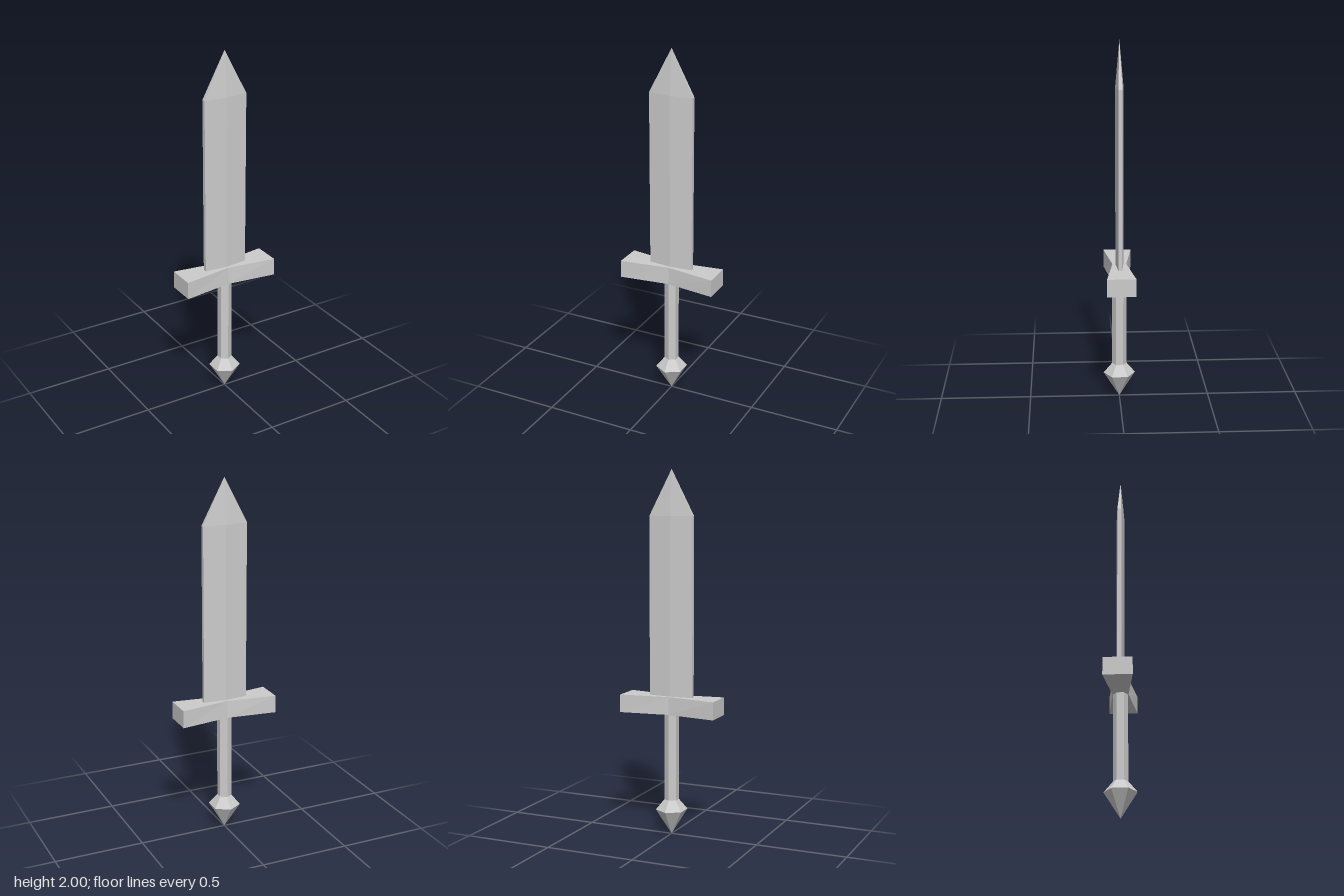
import * as THREE from 'three';

const material = new THREE.MeshStandardMaterial({ color: 0xcccccc, flatShading: true });

function addFacetedMesh(group, name, geometry) {
  const faceted = geometry.toNonIndexed();
  faceted.computeVertexNormals();
  const mesh = new THREE.Mesh(faceted, material);
  mesh.name = name;
  group.add(mesh);
}

// Six-sided turned solid from [radius, y] pairs, listed bottom to top.
function hexSolid(profile) {
  return new THREE.LatheGeometry(profile.map(([r, y]) => new THREE.Vector2(r, y)), 6);
}

export function createModel() {
  const sword = new THREE.Group();
  sword.name = 'sword';

  const guardBottom = 0.678, guardTop = 0.776;

  // Pommel: pointed hexagonal spike flaring out below the grip
  addFacetedMesh(sword, 'pommel', hexSolid([[0, 0], [0.088, 0.14], [0.04, 0.197]]));

  // Grip: hexagonal rod
  addFacetedMesh(sword, 'grip', hexSolid([[0.04, 0.197], [0.04, guardBottom]]));

  // Crossguard: bar pinched at the middle, slightly more so on top
  const guard = new THREE.BoxGeometry(0.552, guardTop - guardBottom, 0.156, 2, 1, 1);
  const pos = guard.attributes.position;
  for (let i = 0; i < pos.count; i++) {
    if (Math.abs(pos.getX(i)) < 0.01) {
      pos.setZ(i, Math.sign(pos.getZ(i)) * (pos.getY(i) > 0 ? 0.038 : 0.042));
    }
  }
  guard.translate(0, (guardBottom + guardTop) / 2, 0);
  addFacetedMesh(sword, 'crossguard', guard);

  // Blade: flattened hexagonal bar ending in a pointed tip
  const blade = hexSolid([[0, guardTop], [1, guardTop], [1, 1.752], [0, 2]]);
  blade.scale(0.126 / Math.cos(Math.PI / 6), 1, 0.022);
  addFacetedMesh(sword, 'blade', blade);

  return sword;
}
